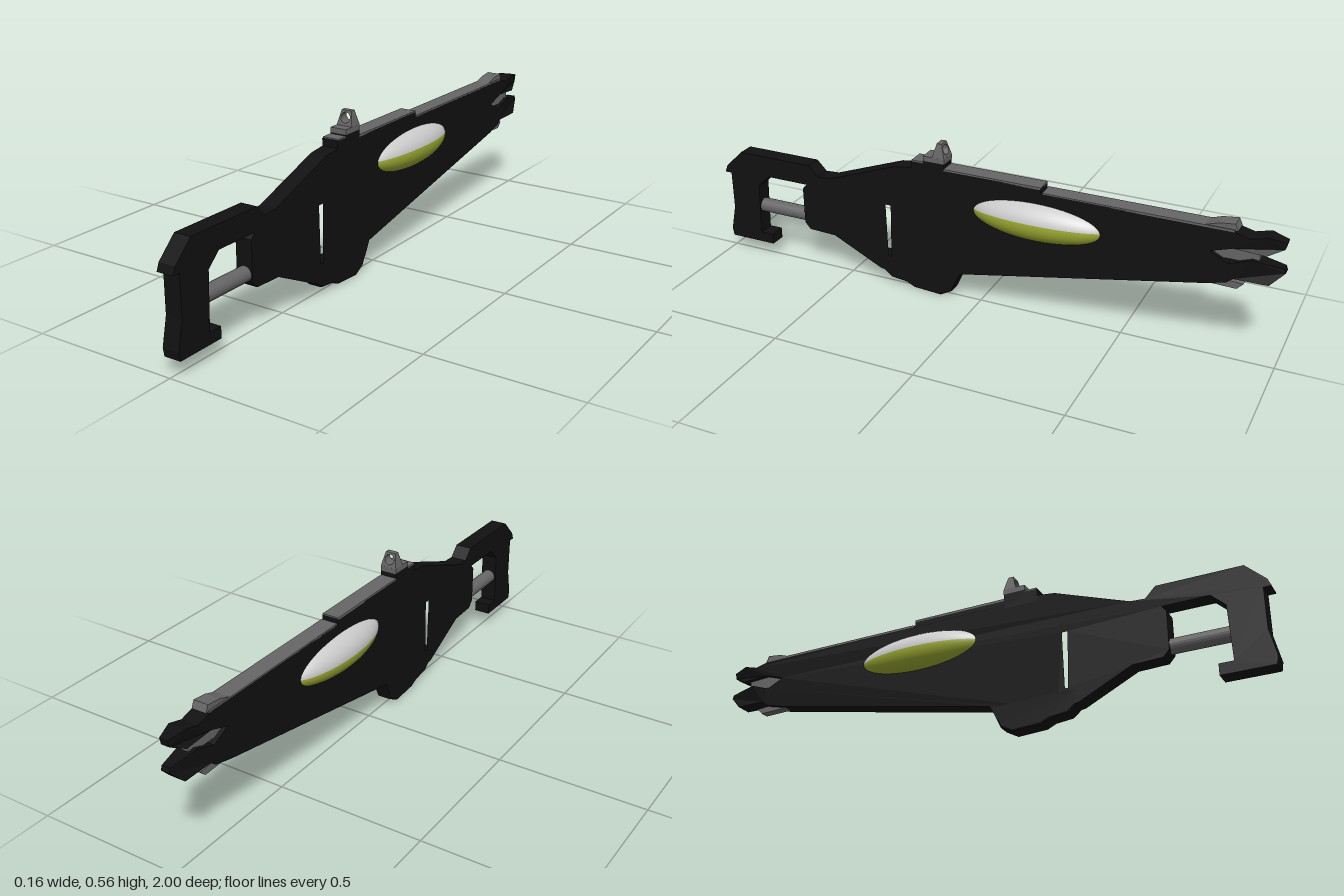
import * as THREE from 'three';

const black = new THREE.MeshStandardMaterial({ color: 0x111111, flatShading: true });
const grey = new THREE.MeshStandardMaterial({ color: 0x666666, flatShading: true });
const white = new THREE.MeshStandardMaterial({ color: 0xcccccc });
const olive = new THREE.MeshStandardMaterial({ color: 0x9aa832 });
const W = 0.058;

// Side profile given as [z, y] pairs, extruded symmetrically across x
function plate(name, pts, width, mat, holes = [], bevel = 0) {
  const toV = p => new THREE.Vector2(-p[0], p[1]);
  const shape = new THREE.Shape(pts.map(toV));
  for (const h of holes) shape.holes.push(new THREE.Path(h.map(toV)));
  const geo = new THREE.ExtrudeGeometry(shape, {
    depth: width - 2 * bevel, bevelEnabled: bevel > 0, bevelSize: bevel,
    bevelThickness: bevel, bevelOffset: -bevel, bevelSegments: 2,
  });
  geo.translate(0, 0, -(width - 2 * bevel) / 2);
  geo.rotateY(Math.PI / 2);
  const mesh = new THREE.Mesh(geo, mat);
  mesh.name = name;
  return mesh;
}

const rect = (z0, z1, y0, y1) => [[z0, y0], [z1, y0], [z1, y1], [z0, y1]];

export function createModel() {
  const model = new THREE.Group();

  // Body, stock handle and forked muzzle as one slab
  const body = plate('body', [
    [0.995, 0.305], [0.985, 0.33], [0.92, 0.393], [0.64, 0.393], [0.605, 0.357], [0.555, 0.36],
    [0.30, 0.453], [0.24, 0.46], [0.12, 0.47], [-0.22, 0.472], [-0.22, 0.455], [-0.83, 0.455],
    [-0.89, 0.44], [-0.94, 0.454], [-0.995, 0.443], [-0.99, 0.42], [-0.94, 0.393], [-0.84, 0.398],
    [-0.77, 0.375], [-0.83, 0.345], [-0.90, 0.37], [-0.995, 0.357], [-1.0, 0.343], [-0.957, 0.298],
    [-0.85, 0.297], [-0.83, 0.28], [-0.76, 0.262],
    [0.064, 0.10], [0.09, 0.05], [0.30, 0.045], [0.37, 0.055], [0.55, 0.143], [0.65, 0.147],
    [0.67, 0.17], [0.67, 0.30], [0.655, 0.318], [0.81, 0.318], [0.855, 0.275], [0.862, 0.09],
    [0.815, 0.09], [0.815, 0.052], [0.985, 0.052], [0.99, 0.08], [0.97, 0.17], [0.97, 0.305],
  ], W, black, [[[0.342, 0.305], [0.322, 0.305], [0.326, 0.11], [0.337, 0.11]]]);
  // Muzzle tips narrow toward their ends
  const p = body.geometry.attributes.position;
  for (let i = 0; i < p.count; i++) if (p.getZ(i) < -0.985) p.setX(i, p.getX(i) * 0.5);
  body.geometry.computeVertexNormals();
  model.add(body);

  // Rounded belly under the body
  model.add(plate('belly', [
    [0.064, 0.10], [0.10, 0.022], [0.14, 0], [0.24, 0.006], [0.27, 0.02],
    [0.33, 0.027], [0.37, 0.06], [0.37, 0.11],
  ], W, black, [], 0.007));

  // Top rail plates
  model.add(plate('rearRail', rect(0.12, -0.22, 0.468, 0.476), W, grey));
  model.add(plate('frontRail', rect(-0.225, -0.84, 0.452, 0.459), W, grey));

  // Stepped sight base
  model.add(plate('sightBase', [
    [0.24, 0.44], [0.24, 0.485], [0.195, 0.485], [0.195, 0.493], [0.12, 0.493], [0.12, 0.44],
  ], W, black));
  model.add(plate('sightBaseCap', rect(0.237, 0.195, 0.484, 0.489), W, grey));
  model.add(plate('sightFoot', rect(0.195, 0.118, 0.492, 0.51), W, grey));

  // Ring sight: trapezoid with a round hole, thinner at the top
  const ring = new THREE.Shape([[-0.029, 0.509], [0.029, 0.509], [0.018, 0.558], [-0.018, 0.558]]
    .map(a => new THREE.Vector2(...a)));
  ring.holes.push(new THREE.Path().absarc(0, 0.535, 0.017, 0, Math.PI * 2, true));
  const ringGeo = new THREE.ExtrudeGeometry(ring, { depth: 0.044, bevelEnabled: false, curveSegments: 12 });
  const rp = ringGeo.attributes.position;
  for (let i = 0; i < rp.count; i++) {
    const t = (rp.getY(i) - 0.509) / 0.049;
    rp.setZ(i, 0.14 + (rp.getZ(i) - 0.022) * (1 - 0.6 * t));
  }
  ringGeo.computeVertexNormals();
  const rearSight = new THREE.Mesh(ringGeo, grey);
  rearSight.name = 'rearSight';
  model.add(rearSight);

  // Front sight, fork insert and lower fin
  model.add(plate('frontSight', [
    [-0.74, 0.455], [-0.79, 0.472], [-0.84, 0.478], [-0.85, 0.455],
  ], 0.05, grey));
  model.add(plate('forkInsert', rect(-0.76, -0.92, 0.355, 0.405), 0.03, grey));
  model.add(plate('lowerFin', [
    [-0.66, 0.27], [-0.72, 0.262], [-0.86, 0.258], [-0.88, 0.278], [-0.80, 0.285], [-0.70, 0.285],
  ], 0.03, grey));

  // Rod joining the handle to the body
  const rod = new THREE.Mesh(new THREE.CylinderGeometry(0.025, 0.025, 0.22, 20), grey);
  rod.name = 'handleRod';
  rod.rotation.x = Math.PI / 2;
  rod.position.set(0, 0.19, 0.765);
  model.add(rod);

  // Two-tone oval pods, one half-ellipsoid per side
  for (const side of [-1, 1]) {
    const pod = new THREE.Group();
    pod.name = side > 0 ? 'leftPod' : 'rightPod';
    const tilt = side > 0 ? 0.17 : 0; // seam tilt
    const start = side > 0 ? Math.PI / 2 : -Math.PI / 2;
    [['podTop', white, 0], ['podBottom', olive, Math.PI / 2]].forEach(([name, mat, theta]) => {
      const geo = new THREE.SphereGeometry(1, 32, 16, start, Math.PI, theta, Math.PI / 2);
      geo.rotateZ(tilt);
      geo.scale(0.079, 0.071, 0.235);
      const half = new THREE.Mesh(geo, mat);
      half.name = name;
      pod.add(half);
    });
    pod.position.set(0, 0.352, -0.205);
    model.add(pod);
  }
  return model;
}
